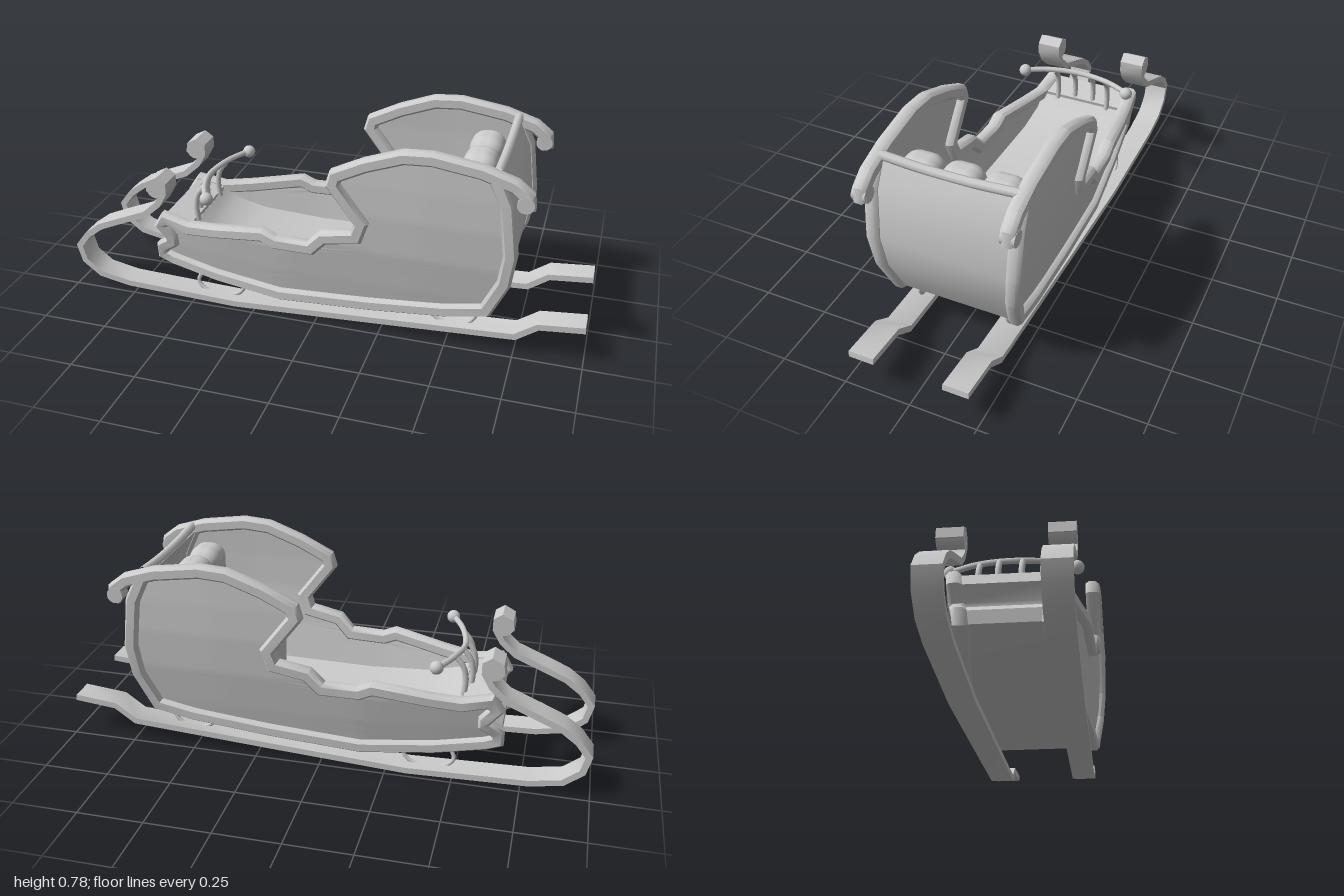
import * as THREE from 'three';
import { toCreasedNormals } from 'three/addons/utils/BufferGeometryUtils.js';
import { RoundedBoxGeometry } from 'three/addons/geometries/RoundedBoxGeometry.js';

const grey = new THREE.MeshStandardMaterial({ color: 0xcccccc });
const greyThin = new THREE.MeshStandardMaterial({ color: 0xcccccc, side: THREE.DoubleSide });

// Piecewise linear lookup in a table of [key, value]
function lerp(table, k) {
  if (k <= table[0][0]) return table[0][1];
  for (let i = 1; i < table.length; i++) {
    const [k0, v0] = table[i - 1], [k1, v1] = table[i];
    if (k <= k1) return v0 + (v1 - v0) * (k - k0) / (k1 - k0);
  }
  return table[table.length - 1][1];
}

// Half width of the body: plan along x, narrowing toward the bottom
const plan = [[-0.65, 0.185], [-0.45, 0.215], [-0.15, 0.25], [0.05, 0.257], [0.4, 0.266], [0.76, 0.264]];
const flare = [[0.08, -0.055], [0.2, -0.033], [0.35, -0.01], [0.5, 0], [0.62, 0], [0.75, -0.004]];
const halfWidth = (x, y) => lerp(plan, x) + lerp(flare, y);

const square = [[1, -1], [1, 1], [-1, 1], [-1, -1]];
const rounded = [[1, -0.5], [1, 0.5], [0.6, 1], [-0.6, 1], [-1, 0.5], [-1, -0.5], [-0.6, -1], [0.6, -1]];

// Sweep a section along a side-on path; zMid and zHalf place it across the width
function sweep(path, section, thick, zMid, zHalf) {
  const pos = [], idx = [], m = section.length, n = path.length;
  const dir = (a, b) => new THREE.Vector2(b[0] - a[0], b[1] - a[1]).normalize();
  path.forEach(([x, y], i) => {
    const d0 = dir(path[Math.max(i - 1, 0)], path[Math.max(i, 1)]);
    const d1 = dir(path[Math.min(i, n - 2)], path[Math.min(i + 1, n - 1)]);
    const t = d0.clone().add(d1).normalize();
    const miter = Math.min(1.35, 1 / Math.max(0.1, t.dot(d1)));
    for (const [u, v] of section) {
      const s = u * thick / 2 * miter;
      pos.push(x - t.y * s, y + t.x * s, zMid(x, y) + v * zHalf(x, y));
    }
  });
  for (let i = 0; i < n - 1; i++) for (let j = 0; j < m; j++) {
    const a = i * m + j, b = i * m + (j + 1) % m;
    idx.push(a, b, b + m, a, b + m, a + m);
  }
  const e = (n - 1) * m;
  for (let j = 1; j < m - 1; j++) idx.push(0, j + 1, j, e, e + j, e + j + 1);
  const g = new THREE.BufferGeometry();
  g.setAttribute('position', new THREE.Float32BufferAttribute(pos, 3));
  g.setIndex(idx);
  return toCreasedNormals(g, 0.7);
}

// Rim of each side: rear curl, over the top, front scroll, along the bottom, up the back
const rim = [
  [0.735, 0.622], [0.758, 0.632], [0.755, 0.66], [0.71, 0.695], [0.6, 0.73], [0.43, 0.755], [0.33, 0.748],
  [0.2, 0.7], [0.09, 0.645], [0.08, 0.61], [0.185, 0.47], [0.165, 0.41], [0.04, 0.385], [-0.01, 0.33],
  [-0.15, 0.328], [-0.2, 0.35], [-0.4, 0.315], [-0.52, 0.3], [-0.62, 0.32], [-0.642, 0.285], [-0.605, 0.24],
  [-0.605, 0.215], [-0.652, 0.18], [-0.652, 0.145], [-0.61, 0.13], [-0.42, 0.1], [-0.15, 0.08], [0.2, 0.11],
  [0.5, 0.145], [0.64, 0.175], [0.7, 0.31], [0.715, 0.43], [0.69, 0.62], [0.645, 0.715]];
const deckStart = 17;

const panelFront = [[0.08, -0.15], [0.1, -0.42], [0.13, -0.61], [0.165, -0.65], [0.22, -0.605], [0.27, -0.63], [0.3, -0.6],
  [0.316, -0.4], [0.33, -0.15], [0.345, 0], [0.385, 0.04], [0.41, 0.16], [0.47, 0.185], [0.61, 0.08], [0.645, 0.09], [0.75, 0.36]];
const panelBack = [[0.08, -0.14], [0.11, 0.2], [0.145, 0.5], [0.175, 0.64], [0.31, 0.7], [0.43, 0.715], [0.62, 0.69],
  [0.715, 0.64], [0.735, 0.58], [0.75, 0.43]];

// Bulging side panel built from horizontal rows
function sidePanel(side) {
  const g = new THREE.PlaneGeometry(1, 1, 24, 48), p = g.attributes.position;
  for (let i = 0; i < p.count; i++) {
    const y = 0.08 + (p.getY(i) + 0.5) * 0.67, f = p.getX(i) + 0.5;
    const x = THREE.MathUtils.lerp(lerp(panelFront, y), lerp(panelBack, y), f);
    p.setXYZ(i, x, y, side * halfWidth(x, y));
  }
  g.computeVertexNormals();
  return g;
}

const tube = (points, r, n = 24) => new THREE.TubeGeometry(
  new THREE.CatmullRomCurve3(points.map(p => new THREE.Vector3(...p))), n, r, 8);

export function createModel() {
  const model = new THREE.Group();
  const add = (name, geometry, material = grey) => {
    const mesh = new THREE.Mesh(geometry, material);
    mesh.name = name;
    model.add(mesh);
    return mesh;
  };

  // Shell across the width: front deck, nose, underside and back
  add('shell', sweep(rim.slice(deckStart), square, 0.024, () => 0, halfWidth));
  // Interior floor
  add('floor', sweep([[-0.52, 0.295], [-0.47, 0.25], [-0.35, 0.215], [-0.1, 0.19], [0.35, 0.19]],
    square, 0.02, () => 0, (x, y) => halfWidth(x, y) - 0.004));
  // Sagging rail along the top of the back
  add('backRail', tube([[0.65, 0.728, -0.25], [0.65, 0.718, -0.1], [0.65, 0.716, 0], [0.65, 0.718, 0.1], [0.65, 0.728, 0.25]], 0.017));

  // Seat with a bowed front edge
  const seat = new RoundedBoxGeometry(0.4, 0.2, 0.44, 5, 0.05);
  const sp = seat.attributes.position;
  for (let i = 0; i < sp.count; i++) {
    if (sp.getX(i) < 0) sp.setX(i, sp.getX(i) + 0.8 * sp.getZ(i) ** 2);
  }
  add('seat', seat).position.set(0.42, 0.27, 0);
  // Three padded back cushions
  for (const k of [-1, 0, 1]) {
    const cushion = add('backCushion', new RoundedBoxGeometry(0.13, 0.36, 0.152, 5, 0.055));
    cushion.position.set(0.56, 0.51, k * 0.15);
    cushion.rotation.z = 0.04;
  }

  // Curved handlebar with posts
  add('handlebar', tube([[-0.43, 0.455, -0.22], [-0.475, 0.455, -0.12], [-0.5, 0.45, 0], [-0.475, 0.455, 0.12], [-0.43, 0.455, 0.22]], 0.011, 32));
  for (const z of [-0.11, -0.04, 0.04, 0.11]) {
    const x = -0.5 + 1.7 * z * z;
    add('handlebarPost', tube([[x, 0.45, z], [x - 0.03, 0.41, z], [x - 0.04, 0.36, z], [x - 0.035, 0.295, z]], 0.011, 12));
  }

  const runner = [[-0.655, 0.455], [-0.65, 0.49], [-0.62, 0.506], [-0.597, 0.49], [-0.597, 0.455], [-0.625, 0.405], [-0.68, 0.355],
    [-0.8, 0.305], [-0.88, 0.27], [-0.94, 0.225], [-0.982, 0.17], [-0.965, 0.105], [-0.9, 0.053], [-0.78, 0.03],
    [-0.33, 0.014], [0.2, 0.042], [0.75, 0.073], [0.83, 0.13], [0.995, 0.146]];
  const runnerZ = x => 0.182 - 0.006 * x;

  for (const s of [-1, 1]) {
    add('sidePanel', sidePanel(s), greyThin);
    add('sideRim', sweep(rim, rounded, 0.05, (x, y) => s * halfWidth(x, y), () => 0.026));
    // Rolled tip of the rear curl
    const tip = add('rearCurl', new THREE.CylinderGeometry(0.03, 0.03, 0.052, 16));
    tip.rotation.x = Math.PI / 2;
    tip.position.set(0.752, 0.638, s * 0.264);

    // Runner and its rolled front tip
    add('runner', sweep(runner, square, 0.024, x => s * runnerZ(x), () => 0.047));
    const roll = add('runnerCurl', new THREE.CylinderGeometry(0.036, 0.036, 0.094, 16));
    roll.rotation.x = Math.PI / 2;
    roll.position.set(-0.628, 0.468, s * runnerZ(-0.63));

    // Looped struts between the body and the runner
    for (const [x0, x1, top, low] of [[-0.5, -0.31, 0.09, 0.026], [0.43, 0.6, 0.145, 0.068]]) {
      add('runnerStrut', tube([[x0 + 0.01, top, s * 0.17], [x0, (top + low) / 2, s * 0.175], [x0 + 0.035, low, s * 0.18],
        [x1 - 0.035, low, s * 0.18], [x1, (top + low) / 2, s * 0.175], [x1 - 0.005, top + 0.01, s * 0.17]], 0.008));
    }
    // Handlebar knob
    add('handlebarKnob', new THREE.SphereGeometry(0.025, 16, 12)).position.set(-0.425, 0.455, s * 0.222);
  }
  return model;
}
